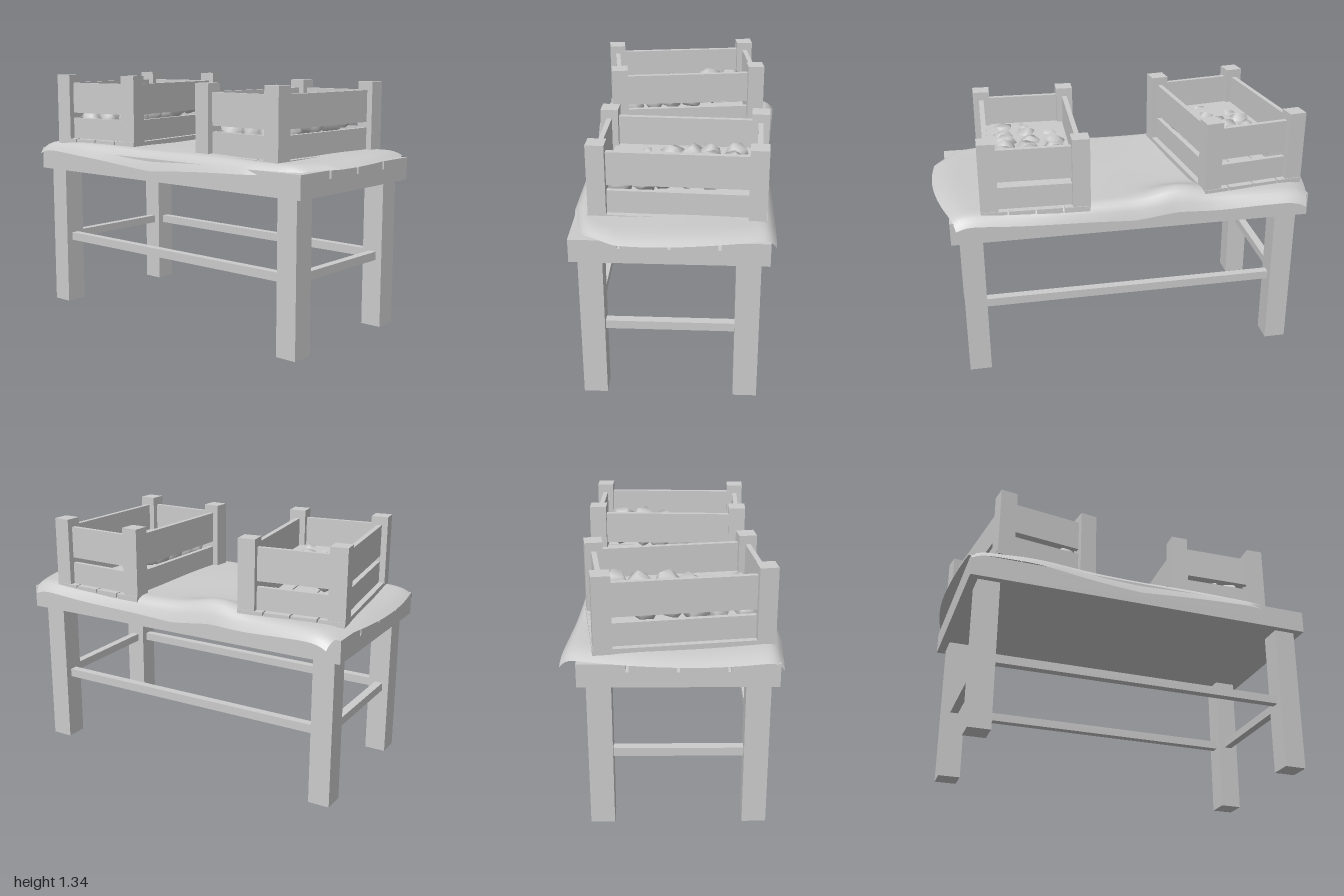
import * as THREE from 'three';
import { mergeVertices } from 'three/addons/utils/BufferGeometryUtils.js';

const grey = new THREE.MeshStandardMaterial({ color: 0xcccccc });
const thin = new THREE.MeshStandardMaterial({ color: 0xcccccc, side: THREE.DoubleSide });

// Box given by its minimum and maximum corners
function box(parent, name, x0, x1, y0, y1, z0, z1) {
  const m = new THREE.Mesh(new THREE.BoxGeometry(x1 - x0, y1 - y0, z1 - z0), grey);
  m.position.set((x0 + x1) / 2, (y0 + y1) / 2, (z0 + z1) / 2);
  m.name = name;
  parent.add(m);
  return m;
}

function seeded(seed) {
  return () => (seed = (seed * 16807) % 2147483647) / 2147483647;
}

function createTable() {
  const g = new THREE.Group();
  g.name = 'table';
  box(g, 'tabletopFrame', -0.95, 0.925, 0.79, 0.868, -0.46, 0.495);
  // Four planks with narrow gaps
  const w = 0.955 / 4;
  for (let i = 0; i < 4; i++) {
    const z = -0.46 + i * w;
    box(g, 'tabletopPlank', -0.95, 0.925, 0.868, 0.91, z + (i ? 0.007 : 0), z + w - (i < 3 ? 0.007 : 0));
  }
  const xs = [-0.8475, 0.8225], zs = [-0.36, 0.4];
  for (const x of xs) for (const z of zs) box(g, 'leg', x - 0.0575, x + 0.0575, 0, 0.79, z - 0.06, z + 0.06);
  for (const z of zs) box(g, 'longStretcher', -0.79, 0.765, 0.365, 0.41, z - 0.022, z + 0.022);
  for (const x of xs) box(g, 'shortStretcher', x - 0.022, x + 0.022, 0.365, 0.41, -0.3, 0.34);
  return g;
}

// Draped cloth: a grid with a wavy outline, drooping rims and one raised fold
function createCloth() {
  const geo = new THREE.PlaneGeometry(2, 2, 64, 64);
  geo.rotateX(-Math.PI / 2);
  const p = geo.attributes.position;
  const rim = (t, start) => Math.max(0, (Math.abs(t) - start) / (1 - start)) ** 4;
  for (let i = 0; i < p.count; i++) {
    const u = p.getX(i), v = p.getZ(i);
    const left = -1 + 0.06 * v * v + (v < 0 ? 0.03 * v * v : -0.01 * v * v);
    const right = 1 - 0.08 * (v - 0.14) ** 2 - (v > 0.6 ? 0.22 * (v - 0.6) : 0);
    const back = -0.488 - (u < -0.25 ? 0.07 * (-u - 0.25) : 0);
    const front = 0.512 + 0.02 * Math.exp(-(((u + 0.62) / 0.2) ** 2)) - (u > 0.7 ? 0.17 * (u - 0.7) : 0);
    const x = left + (right - left) * (u + 1) / 2;
    const z = back + (front - back) * (v + 1) / 2;
    let y = 0.95 + 0.007 * Math.sin(5 * x + 3 * z) * Math.cos(4 * z - 2 * x);
    y += 0.045 * Math.exp(-(((x + 0.25) / 0.16) ** 2) - ((z + 0.4) / 0.09) ** 2);
    y -= rim(v, 0.78) * (0.1 - 0.055 * Math.abs(u)) + rim(u, 0.8) * 0.03;
    p.setXYZ(i, x, y, z);
  }
  geo.computeVertexNormals();
  const m = new THREE.Mesh(geo, thin);
  m.name = 'cloth';
  return m;
}

// Irregular, softly shaded lump
function lumpGeometry(r, rand) {
  let geo = new THREE.DodecahedronGeometry(r, 0);
  geo.deleteAttribute('normal');
  geo.deleteAttribute('uv');
  geo = mergeVertices(geo, 1e-4);
  const p = geo.attributes.position;
  for (let i = 0; i < p.count; i++) {
    const s = 0.88 + 0.24 * rand();
    p.setXYZ(i, p.getX(i) * s, p.getY(i) * s, p.getZ(i) * s);
  }
  geo.computeVertexNormals();
  return geo;
}

// Slatted crate; its local y = 0 is the underside of the base slats
function createCrate(name, seed) {
  const g = new THREE.Group();
  g.name = name;
  const rand = seeded(seed);
  const px = 0.232, pz = 0.388, h = 0.045;
  for (let i = 0; i < 4; i++) {
    const x = -0.275 + i * 0.1395;
    box(g, 'baseSlat', x, x + 0.132, 0, 0.028, -0.437, 0.437);
  }
  for (const s of [-1, 1]) {
    for (const t of [-1, 1]) box(g, 'cornerPost', s * px - h, s * px + h, 0.02, 0.39, t * pz - h, t * pz + h);
    for (const [y0, y1] of [[0.028, 0.145], [0.175, 0.345]]) {
      box(g, 'sidePlank', s * px - 0.013, s * px + 0.013, y0, y1, -pz, pz);
      box(g, 'endPlank', -px, px, y0, y1, s * pz - 0.013, s * pz + 0.013);
    }
  }
  // Sheet of fill with produce that sinks into it towards the front
  const fill = new THREE.Mesh(new THREE.PlaneGeometry(0.43, 0.72), thin);
  fill.rotation.x = -Math.PI / 2;
  fill.position.y = 0.195;
  fill.name = 'fill';
  g.add(fill);
  for (let row = 0; row < 6; row++) {
    for (let col = -1; col <= 1; col++) {
      const m = new THREE.Mesh(lumpGeometry(0.062 + 0.016 * rand(), rand), grey);
      m.position.set(col * 0.13 + (rand() - 0.5) * 0.03, 0.198 + col * 0.006 - row * 0.012, -0.27 + row * 0.115 + (rand() - 0.5) * 0.04);
      m.rotation.set(rand() * 6, rand() * 6, rand() * 6);
      m.name = 'produce';
      g.add(m);
    }
  }
  return g;
}

export function createModel() {
  const model = new THREE.Group();
  model.name = 'marketTable';
  const right = createCrate('rightCrate', 17);
  right.position.set(-0.6, 0.945, 0.015);
  right.rotation.y = 0.135;
  const left = createCrate('leftCrate', 91);
  left.position.set(0.476, 0.92, -0.021);
  left.rotation.y = -0.036;
  model.add(createTable(), createCloth(), right, left);
  return model;
}
